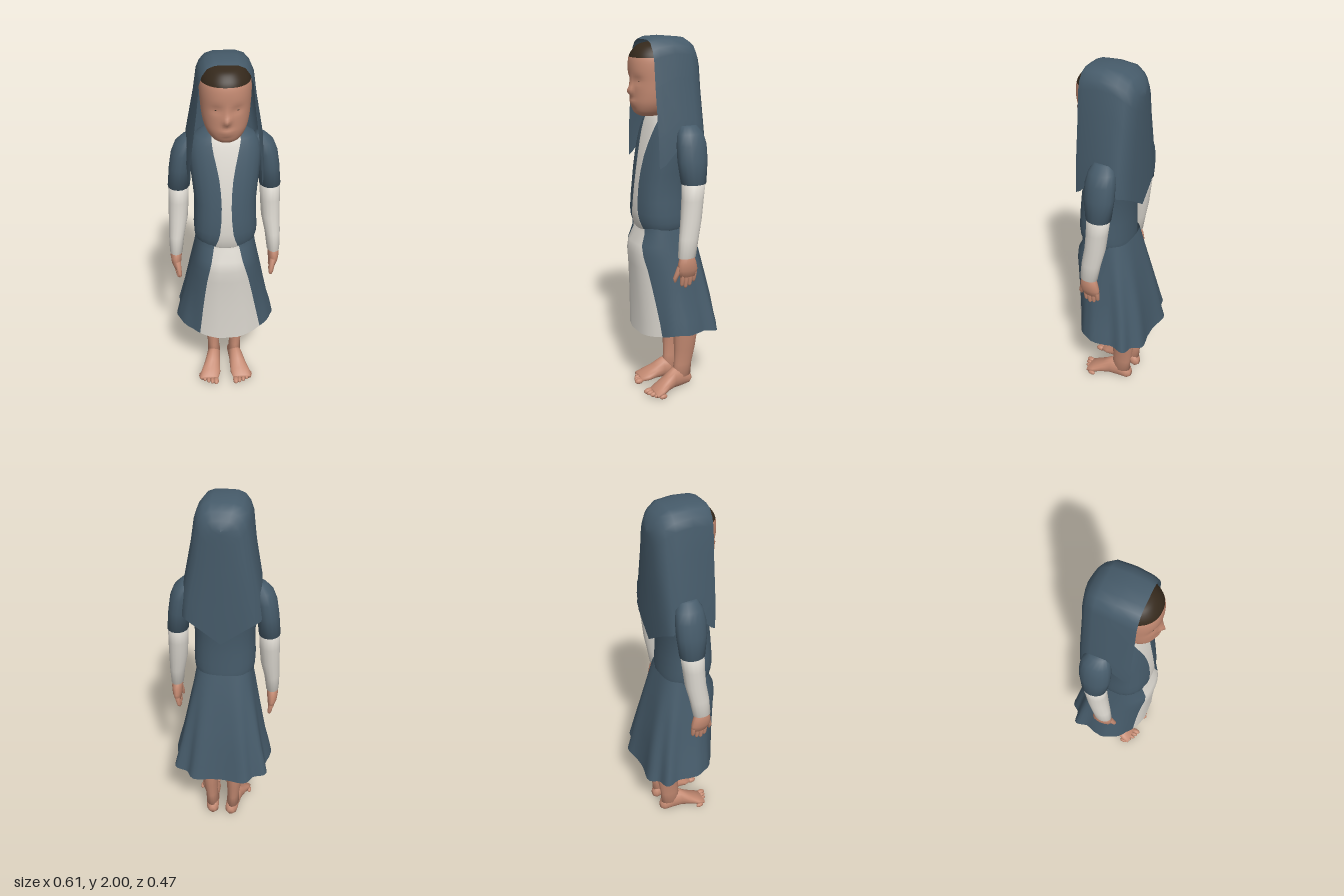
import * as THREE from 'three';
import { mergeVertices } from 'three/addons/utils/BufferGeometryUtils.js';

const mat = (name, color, side = THREE.FrontSide) => {
  const m = new THREE.MeshStandardMaterial({ color, side });
  m.name = name;
  return m;
};

// Fill in extra sections along a smooth curve.
function smooth(S, n = 3) {
  const out = [];
  const cr = (a, b, c, d, t) => 0.5 * (2 * b + (c - a) * t + (2 * a - 5 * b + 4 * c - d) * t * t + (3 * b - a - 3 * c + d) * t ** 3);
  for (let i = 0; i < S.length - 1; i++) {
    const [p, q, r, s] = [S[Math.max(i - 1, 0)], S[i], S[i + 1], S[Math.min(i + 2, S.length - 1)]];
    for (let k = 0; k < n; k++) out.push(q.map((_, c) => cr(p[c], q[c], r[c], s[c], k / n)));
  }
  out.push(S[S.length - 1]);
  return out;
}

// Rings stacked upward; section = [y, centreX, backZ, frontZ, halfWidth, stripLeft, stripRight].
// The first k columns of a ring span the front strip.
function loft(S, { n = 16, k = 6, e = 1, warp, caps = true, pick = () => 0 } = {}) {
  const pos = [], faces = [[], []];
  const pw = (v) => Math.sign(v) * Math.abs(v) ** e;
  for (const [y, cx, zb, zf, rx, sl, sr] of S) {
    for (let j = 0; j < n; j++) {
      let th = (j / n) * Math.PI * 2;
      if (sl !== undefined) {
        const a = -Math.asin((sl / rx) ** (1 / e)), b = Math.asin((sr / rx) ** (1 / e));
        th = j <= k ? a + ((b - a) * j) / k : b + ((Math.PI * 2 + a - b) * (j - k)) / (n - k);
      }
      const v = new THREE.Vector3(cx + rx * pw(Math.sin(th)), y, (zb + zf) / 2 + ((zf - zb) / 2) * pw(Math.cos(th)));
      if (warp) warp(v, th);
      pos.push(v.x, v.y, v.z);
    }
  }
  for (let i = 0; i < S.length - 1; i++)
    for (let j = 0; j < n; j++) {
      const a = i * n + j, b = i * n + ((j + 1) % n);
      faces[pick(S[i][0], j)].push(a, b, b + n, a, b + n, a + n);
    }
  if (caps)
    for (const i of [0, S.length - 1]) {
      const [y, cx, zb, zf] = S[i], c = pos.length / 3;
      pos.push(cx, y, (zb + zf) / 2);
      for (let j = 0; j < n; j++) {
        const a = i * n + j, b = i * n + ((j + 1) % n);
        faces[pick(y, j)].push(...(i ? [c, a, b] : [c, b, a]));
      }
    }
  const g = new THREE.BufferGeometry();
  g.setAttribute('position', new THREE.Float32BufferAttribute(pos, 3));
  g.setIndex([...faces[0], ...faces[1]]);
  g.addGroup(0, faces[0].length, 0);
  g.addGroup(faces[0].length, faces[1].length, 1);
  g.computeVertexNormals();
  return g;
}

export function createModel() {
  const blue = mat('blue cloth', 0x465b6a, THREE.DoubleSide);
  const white = mat('white cloth', 0xdcd8d0, THREE.DoubleSide);
  const skin = mat('skin', 0xc48a72);
  const dark = mat('dark hair', 0x35291c);
  const model = new THREE.Group();
  const add = (name, geo, m, parent = model) => {
    const o = new THREE.Mesh(geo, m);
    o.name = name;
    parent.add(o);
    return o;
  };
  const ball = (name, m, x, y, z, rx, ry, rz, parent) => {
    const o = add(name, new THREE.SphereGeometry(1, 12, 8), m, parent);
    o.position.set(x, y, z);
    o.scale.set(rx, ry, rz);
    return o;
  };
  const front = (y, j) => (j < 6 ? 1 : 0);

  // Bodice with a white front strip
  add('bodice', loft(smooth([
    [1.0, 0, -0.08, 0.185, 0.145, 0.06, 0.06], [1.03, 0, -0.084, 0.196, 0.162, 0.055, 0.055],
    [1.1, 0, -0.082, 0.207, 0.168, 0.035, 0.035], [1.25, 0, -0.08, 0.195, 0.162, 0.025, 0.025],
    [1.4, 0, -0.095, 0.168, 0.178, 0.035, 0.035], [1.52, 0, -0.095, 0.135, 0.182, 0.06, 0.06],
    [1.59, 0, -0.085, 0.11, 0.15, 0.07, 0.075], [1.625, 0, -0.06, 0.09, 0.085, 0.065, 0.07]], 2),
  { n: 26, e: 0.85, pick: front }), [blue, white]);

  // Pleated skirt with a bulging white front panel, and a blue lining just inside it
  const skirt = (inset, pick) => loft(smooth([
    [0.42, 0, -0.226, 0.172, 0.274, 0.15, 0.195], [0.6, 0, -0.192, 0.17, 0.236, 0.13, 0.16],
    [0.8, 0, -0.15, 0.174, 0.197, 0.105, 0.12], [0.93, 0, -0.12, 0.182, 0.17, 0.08, 0.085],
    [1.04, 0, -0.092, 0.185, 0.15, 0.06, 0.06]], 2)
    .map(([y, cx, zb, zf, rx, ...strip]) => [y, cx, zb + inset, zf - inset, rx - inset, ...strip]), {
    n: 60, e: 0.66, caps: false, pick,
    warp(v, th) {
      const f = Math.min(1, Math.max(0, (1 - v.y) / 0.58)), c = Math.cos(th);
      const p = 1 + (c < 0.4 ? 0.06 * f * Math.cos(9 * th) * Math.min(1, (0.4 - c) * 2) : 0);
      v.x *= p;
      v.z *= p;
      if (c > 0) v.z += 0.058 * Math.min(1, f * 6) * (1 - 0.25 * f) * Math.max(0, 1 - (v.x / 0.19) ** 2);
      // Hem: low in front and behind, lifted at the front corners
      if (v.y < 0.5) v.y += 0.02 * Math.sin(th) ** 2 + 0.045 * Math.max(0, Math.sin(2 * Math.abs(Math.atan2(v.x, c)))) * Math.max(0, c) - 0.025 * Math.abs(c);
    },
  });
  add('skirt', skirt(0, front), [blue, white]);
  add('skirtLining', skirt(0.005, () => 0), [blue, blue]);

  // Head with hair cap; the face is shaped by soft bumps
  const bumps = [ // x, y, width, height, depth
    [0, 1.735, 0.016, 0.022, 0.024], [0, 1.77, 0.012, 0.03, 0.008], [0.05, 1.79, 0.028, 0.02, -0.008],
    [-0.05, 1.79, 0.028, 0.02, -0.008], [0, 1.682, 0.03, 0.009, 0.008], [0, 1.664, 0.026, 0.008, 0.006]];
  add('head', loft(smooth([
    [1.608, 0, 0.05, 0.17, 0.045], [1.628, 0, 0.01, 0.196, 0.074], [1.67, 0, -0.03, 0.21, 0.101],
    [1.72, 0, -0.06, 0.213, 0.115], [1.78, 0, -0.085, 0.215, 0.122], [1.85, 0, -0.1, 0.219, 0.126],
    [1.9, 0, -0.1, 0.213, 0.122], [1.935, 0, -0.09, 0.193, 0.106], [1.96, 0, -0.06, 0.162, 0.08],
    [1.972, 0, 0, 0.11, 0.04]], 5), {
    n: 64, e: 0.9, pick: (y) => (y >= 1.899 ? 1 : 0),
    warp(v, th) {
      if (Math.cos(th) > 0)
        for (const [x, y, w, h, d] of bumps) v.z += d * Math.exp(-(((v.x - x) / w) ** 2) - ((v.y - y) / h) ** 2);
    },
  }), [skin, dark]);
  add('neck', loft([[1.54, 0, -0.05, 0.08, 0.065], [1.7, 0, -0.05, 0.09, 0.06]]), skin);
  for (const s of [1, -1]) ball('eye', dark, s * 0.05, 1.787, 0.194, 0.008, 0.003, 0.006);

  // Veil: arches from front to back, closing on the centre line of the back
  const X = [0, 0.3, 0.5, 0.64, 0.72, 0.79, 0.96, 1], Y = [1, 0.998, 0.975, 0.92, 0.85, 0.64, 0.25, 0];
  const arches = [ // z, half width, top, hem, pinch at the top
    [0.15, 0.182, 1.985, 1.36, 0.03], [0.12, 0.192, 1.997, 1.38, 0.04], [0.04, 0.2, 2.0, 1.47, 0.05],
    [-0.05, 0.207, 1.992, 1.46, 0.1], [-0.095, 0.203, 1.965, 1.4, 0.2], [-0.12, 0.175, 1.93, 1.39, 0.27],
    [-0.132, 0.11, 1.9, 1.35, 0.3], [-0.138, 0, 1.885, 1.27, 0]];
  const vp = [], vi = [], m = X.length * 2 - 1;
  arches.forEach(([z, w, top, hem, pinch], i) => {
    for (let j = 0; j < m; j++) {
      const d = j - X.length + 1, q = Math.abs(d);
      vp.push(Math.sign(d) * X[q] * w * (1 - pinch * Y[q]), hem + (top - hem) * Y[q], z);
      if (i < arches.length - 1 && j < m - 1) {
        const a = i * m + j;
        vi.push(a, a + 1, a + m + 1, a, a + m + 1, a + m);
      }
    }
  });
  let veil = new THREE.BufferGeometry();
  veil.setAttribute('position', new THREE.Float32BufferAttribute(vp, 3));
  veil.setIndex(vi);
  veil = mergeVertices(veil, 1e-4);
  veil.computeVertexNormals();
  add('veil', veil, blue);

  for (const s of [1, -1]) {
    const side = s > 0 ? 'left' : 'right';
    const limb = (S, n) => loft(S.map(([y, cx, ...r]) => [y, cx * s, ...r]), { n });

    // Arm: blue sleeve, white undersleeve, hand
    const arm = new THREE.Group();
    arm.name = side + 'Arm';
    model.add(arm);
    add('sleeve', limb([
      [1.285, 0.242, -0.08, 0.055, 0.057], [1.4, 0.23, -0.093, 0.07, 0.058], [1.48, 0.217, -0.093, 0.068, 0.058],
      [1.535, 0.2, -0.083, 0.058, 0.053], [1.572, 0.18, -0.055, 0.035, 0.035]]), blue, arm);
    add('undersleeve', limb([
      [0.9, 0.268, -0.012, 0.088, 0.035], [1.0, 0.262, -0.03, 0.078, 0.042], [1.1, 0.25, -0.052, 0.062, 0.051],
      [1.2, 0.245, -0.064, 0.054, 0.054], [1.29, 0.242, -0.076, 0.051, 0.054]]), white, arm);
    add('palm', limb([
      [0.79, 0.266, -0.02, 0.076, 0.017], [0.83, 0.27, -0.024, 0.09, 0.027], [0.87, 0.27, -0.014, 0.088, 0.031],
      [0.92, 0.267, 0.004, 0.072, 0.028]]), skin, arm);
    [[0.062, 0.735], [0.04, 0.722], [0.016, 0.73], [-0.008, 0.75]].forEach(([z, tip], i) => add('finger' + (i + 1), limb([
      [tip, 0.258, z - 0.005, z + 0.005, 0.006], [tip + 0.012, 0.26, z - 0.011, z + 0.011, 0.011],
      [0.81, 0.268, z - 0.014, z + 0.014, 0.015]], 8), skin, arm));
    add('thumb', limb([
      [0.762, 0.25, 0.092, 0.104, 0.006], [0.785, 0.253, 0.085, 0.111, 0.012],
      [0.85, 0.264, 0.055, 0.092, 0.018]], 8), skin, arm);

    // Leg, foot and toes
    const leg = new THREE.Group();
    leg.name = side + 'Leg';
    model.add(leg);
    add('shin', limb([
      [0.07, 0.062, -0.108, 0.018, 0.038], [0.15, 0.066, -0.112, 0, 0.034], [0.25, 0.07, -0.13, 0, 0.044],
      [0.36, 0.074, -0.142, 0.006, 0.053], [0.46, 0.078, -0.138, 0.012, 0.056], [0.7, 0.085, -0.1, 0.08, 0.065]]), skin, leg);
    // Foot sections run heel to toe, then tip forward
    add('foot', limb([
      [-0.113, 0.056, -0.055, -0.015, 0.018], [-0.095, 0.057, -0.085, -0.002, 0.036], [-0.04, 0.063, -0.125, 0, 0.039],
      [0.01, 0.07, -0.13, -0.004, 0.042], [0.06, 0.08, -0.092, -0.006, 0.05], [0.11, 0.092, -0.06, -0.002, 0.06],
      [0.15, 0.1, -0.038, -0.006, 0.055]]).rotateX(Math.PI / 2), skin, leg);
    for (let t = 0; t < 5; t++)
      ball('toe' + (t + 1), skin, s * (0.06 + t * 0.0225), 0.018 - t * 0.001, 0.166 - t * t * 0.0032,
        t ? 0.012 : 0.017, t ? 0.014 : 0.017, t ? 0.024 : 0.028, leg);
  }
  return model;
}
